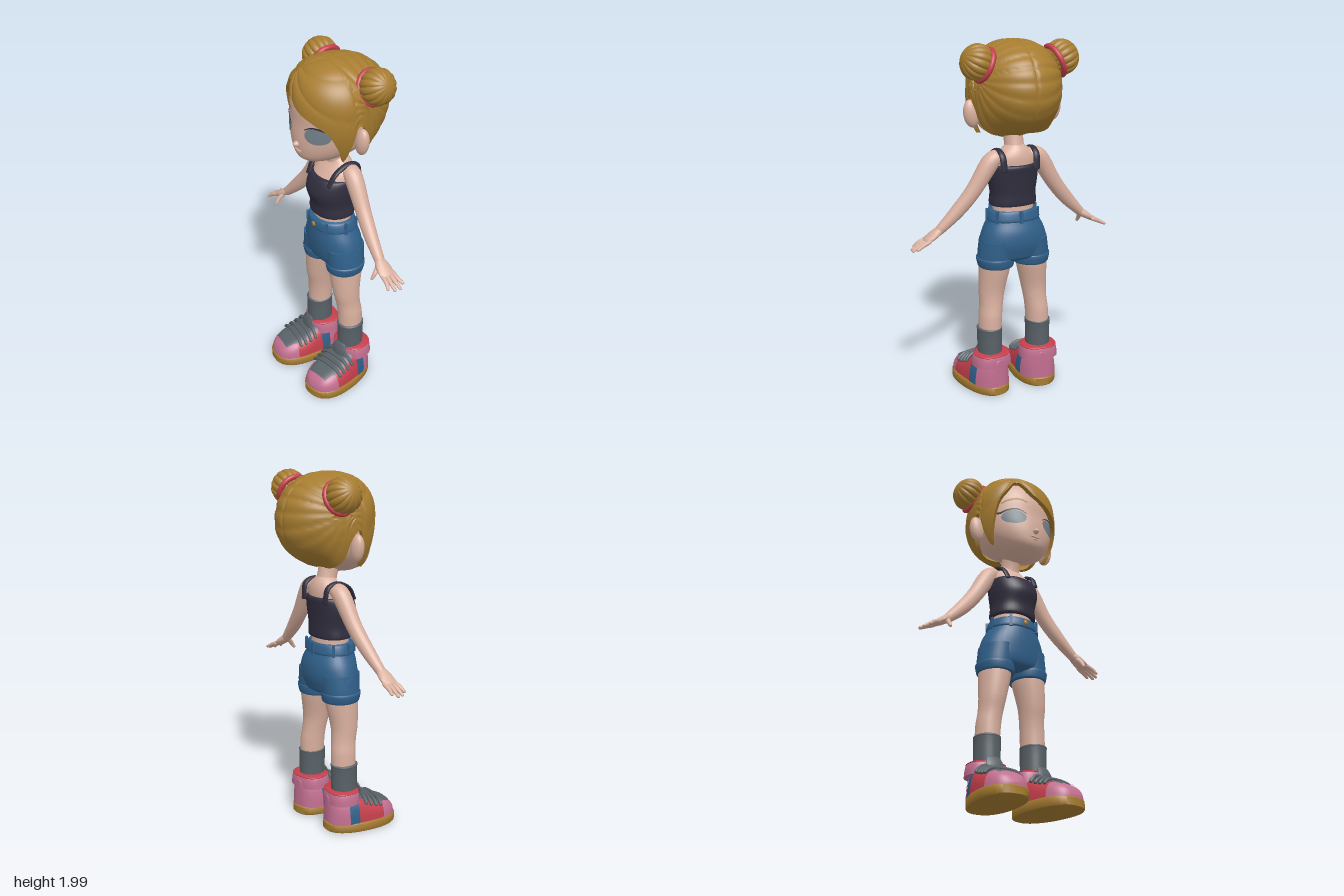
import * as THREE from 'three';
import { toCreasedNormals } from 'three/addons/utils/BufferGeometryUtils.js';

const mat = (name, color, side = THREE.FrontSide) => {
  const m = new THREE.MeshStandardMaterial({ color, side });
  m.name = name;
  return m;
};
const SKIN = mat('skin', 0xd9b09f), HAIR = mat('hair gold', 0xa67c30, THREE.DoubleSide);
const DARK = mat('charcoal', 0x302e3e, THREE.DoubleSide), DENIM = mat('denim', 0x30608a);
const GREY = mat('grey', 0x596268), PINK = mat('pink', 0xc26f90), RED = mat('red', 0xc43f4c);
const EYE = mat('eye grey', 0x74818a, THREE.DoubleSide);
const { smoothstep, lerp, degToRad } = THREE.MathUtils;
const TAU = Math.PI * 2;
const pw = (v, p) => Math.sign(v) * Math.abs(v) ** p;
const range = (n, f) => Array.from({ length: n + 1 }, (_, i) => f(i / n, i));

// Smooth interpolation in a table whose first column is the key
function at(rows, k) {
  let i = 0;
  while (i < rows.length - 2 && k > rows[i + 1][0]) i++;
  const slope = (j, c) => {
    const a = rows[Math.max(0, j - 1)], b = rows[Math.min(rows.length - 1, j + 1)];
    return (b[c] - a[c]) / (b[0] - a[0]);
  };
  const A = rows[i], B = rows[i + 1], d = B[0] - A[0], t = (k - A[0]) / d, t2 = t * t, t3 = t2 * t;
  return A.slice(1).map((_, c) => (2 * t3 - 3 * t2 + 1) * A[c + 1] + (t3 - 2 * t2 + t) * d * slope(i, c + 1)
    + (3 * t2 - 2 * t3) * B[c + 1] + (t3 - t2) * d * slope(i + 1, c + 1));
}

// Surface through a list of rings of points
function skin(rings, { wrap = true, cap = wrap } = {}) {
  const n = rings[0].length, pos = rings.flat(2), idx = [], last = rings.length - 1;
  for (let j = 0; j < last; j++) for (let i = 0; i < (wrap ? n : n - 1); i++) {
    const a = j * n + i, b = j * n + (i + 1) % n;
    idx.push(a, a + n, b + n, a, b + n, b);
  }
  if (cap) for (const j of [0, last]) {
    const c = pos.length / 3;
    for (let k = 0; k < 3; k++) pos.push(rings[j].reduce((s, p) => s + p[k], 0) / n);
    for (let i = 0; i < n; i++) {
      const a = j * n + i, b = j * n + (i + 1) % n;
      idx.push(c, ...(j ? [b, a] : [a, b]));
    }
  }
  const g = new THREE.BufferGeometry();
  g.setAttribute('position', new THREE.Float32BufferAttribute(pos, 3));
  g.setIndex(idx);
  g.scale(100, 100, 100);
  const out = toCreasedNormals(g, 0.8);
  out.scale(0.01, 0.01, 0.01);
  return out;
}

// Upright form: rows of [y, centre x, centre z, half width, front depth, back depth]
function loft(rows, p = 1, n = 36, sub = 4) {
  const ys = rows.slice(1).flatMap((r, i) => range(sub - 1, (_, k) => lerp(rows[i][0], r[0], k / sub)));
  ys.push(rows[rows.length - 1][0]);
  return skin(ys.map((y) => {
    const [cx, cz, rx, rf, rb] = at(rows, y);
    return range(n - 1, (_, i) => {
      const c = pw(Math.cos(TAU * i / n), p), s = pw(Math.sin(TAU * i / n), p);
      return [cx + rx * c, y, cz + (s > 0 ? rf : rb) * s];
    });
  }));
}

// Rounded limb along rows of [x, y, z, radius, radius along ref]
function limb(rows, ref = [0, 0, 1], n = 14) {
  const keyed = rows.map((r, i) => [i, ...r]), end = rows.length - 1, e = 0.01, rings = [];
  const ring = (k, phi) => {
    const [x, y, z, r1, r2] = at(keyed, k);
    const a = at(keyed, Math.max(0, k - e)), b = at(keyed, Math.min(end, k + e));
    const T = new THREE.Vector3(b[0] - a[0], b[1] - a[1], b[2] - a[2]).normalize();
    const e2 = new THREE.Vector3(...ref);
    e2.addScaledVector(T, -e2.dot(T)).normalize();
    const e1 = T.clone().cross(e2), C = Math.cos(phi);
    rings.push(range(n - 1, (_, i) => new THREE.Vector3(x, y, z).addScaledVector(T, Math.min(r1, r2) * Math.sin(phi))
      .addScaledVector(e1, r1 * C * Math.cos(TAU * i / n)).addScaledVector(e2, r2 * C * Math.sin(TAU * i / n)).toArray()));
  };
  [-1.45, -1, -0.5].forEach((f) => ring(0, f));
  range(end * 5, (t) => ring(t * end, 0));
  [0.5, 1, 1.45].forEach((f) => ring(end, f));
  return skin(rings);
}

const HEAD = [[1.452, 0, .1, .04, .06, .07], [1.48, 0, .08, .11, .13, .1], [1.53, 0, .03, .175, .198, .15],
  [1.6, 0, 0, .215, .232, .2], [1.68, 0, 0, .228, .226, .23], [1.78, 0, 0, .222, .222, .24],
  [1.88, 0, 0, .18, .18, .2], [1.94, 0, 0, .09, .09, .1]];
// Point lying just over the face
const onFace = (x, y, lift = 0.004) => {
  const [, cz, rx, rf] = at(HEAD, y);
  return [x, y, cz + rf * Math.sqrt(Math.max(0, 1 - (x / rx) ** 2)) + lift];
};
const strip = (pts, s, lift) => skin([-1, 1].map((d) => range(16, (t) => {
  const [x, y, h] = at(pts.map((p, i) => [i, ...p]), t * (pts.length - 1));
  return onFace(s * x, y + d * h, lift);
})), { wrap: false });

// Lower edge of the hair by azimuth in degrees: fringe, side locks, ear openings, nape
const RIM = [[-180, 1.49], [-120, 1.5], [-103, 1.55], [-96, 1.66], [-84, 1.7], [-77, 1.58], [-70, 1.5], [-64, 1.56],
  [-52, 1.74], [-40, 1.82], [-28, 1.88], [-10, 1.82], [10, 1.765], [30, 1.725], [48, 1.67], [60, 1.57], [67, 1.49],
  [75, 1.58], [84, 1.7], [96, 1.66], [103, 1.55], [120, 1.5], [180, 1.49]];
function hairPoint(deg, t, tuck) {
  const a = degToRad(deg), rim = at(RIM, deg)[0];
  let y = 1.99 - (1.99 - rim) * t * t;
  const L = lerp(.38, .25, smoothstep(-Math.cos(a), 0, .8));
  const f = y > 1.73 ? Math.max(0, 1 - ((y - 1.73) / .26) ** 2.3) ** (1 / 2.3) : Math.sqrt(1 - ((1.73 - y) / L) ** 2);
  let x = .25 * f * Math.sin(a), z = (Math.cos(a) > 0 ? .243 : .308) * f * Math.cos(a);
  const fringe = smoothstep(z, .03, .055);
  // Strands run to the buns behind, and fan out from the parting in front
  const strand = fringe > .5 ? Math.atan2(y - 1.94, x + .1) * 6 : Math.atan2(y - 1.8, z + .07) * 9;
  let groove = 1 - Math.abs(Math.sin(strand)) ** .6;
  if (z < 0) groove = Math.max(groove, Math.exp(-((x / .008) ** 2)));
  const k = (1 + .035 * fringe - .025 * groove) * tuck;
  y -= .005 * groove;
  return [x * k, y, z * k];
}
function hairShell() {
  const n = 144, rows = 56;
  const ring = (t, tuck) => range(n - 1, (_, i) => {
    const deg = 90 - 360 * i / n;
    return hairPoint(deg < -180 ? deg + 360 : deg, t, tuck);
  });
  return skin([ring(1, .88), ...range(rows, (v) => ring(1 - v, 1))], { cap: false });
}
const bunShape = () => skin(range(24, (v) => range(83, (_, i) => {
  const a = TAU * i / 84, ph = (v - .5) * Math.PI;
  const r = .097 * (1 - .09 * (1 - Math.abs(Math.sin(a * 7)) ** .5)) * Math.cos(ph);
  return [r * Math.cos(a), .088 * Math.sin(ph), r * Math.sin(a)];
})), { cap: false });

// Shoe surface: arches along z, angle a runs over the top from side to side
const HEIGHT = [[-.115, .16], [-.08, .165], [.03, .165], [.07, .15], [.13, .118], [.2, .098], [.25, .075], [.28, .048], [.295, .015]];
function shoePoint(z, a, e = 0) {
  const t = (z - .09) / .205, c = Math.cos(a), s = Math.max(0, Math.sin(a));
  const w = .116 * Math.max(0, 1 - Math.abs(t) ** 2.6) ** (1 / 2.6) * (1 + .06 * t) * (1 + 8 * e);
  return [w * pw(c, .6) * (1 - .1 * s), .045 + (at(HEIGHT, z)[0] + e) * s ** .65, z + e * t];
}
function shoePanel(z0, z1, a0, a1, e) {
  const [q0, q1] = [z0, z1].map((z) => Math.asin(Math.max(-1, Math.min(1, (z - .09) / .205))));
  return skin(range(16, (v) => range(28, (u) =>
    shoePoint(.09 + .205 * Math.sin(lerp(q1, q0, v)), degToRad(lerp(a0, a1, u)), e))), { wrap: false });
}

export function createModel() {
  const model = new THREE.Group();
  const add = (name, geo, m, parent = model) => {
    const o = new THREE.Mesh(geo, m);
    o.name = name;
    parent.add(o);
    return o;
  };
  const ball = (name, m, [x, y, z], [a, b, c], parent) => {
    const o = add(name, new THREE.SphereGeometry(1, 24, 16).scale(a, b, c), m, parent);
    o.position.set(x, y, z);
    return o;
  };

  // Head and face
  add('head', loft(HEAD, 1, 48), SKIN);
  ball('nose', SKIN, [0, 1.568, .232], [.017, .016, .024]);
  ball('upperLip', SKIN, [0, 1.534, .226], [.03, .006, .008]);
  ball('lowerLip', SKIN, [0, 1.521, .22], [.024, .007, .009]);
  add('neck', limb([[0, 1.37, -.025, .058, .058], [0, 1.44, -.01, .053, .055], [0, 1.52, .01, .055, .06]], [0, 0, 1], 24), SKIN);
  add('hair', hairShell(), HAIR);

  // Torso and clothes
  add('torso', loft([[1.03, 0, 0, .118, .11, .088], [1.1, 0, 0, .114, .105, .085], [1.16, 0, 0, .114, .11, .085],
    [1.23, 0, 0, .122, .132, .09], [1.3, 0, 0, .128, .112, .098], [1.36, 0, -.01, .12, .08, .09],
    [1.4, 0, -.02, .085, .055, .07], [1.43, 0, -.02, .05, .045, .05]]), SKIN);
  add('tankTop', loft([[1.094, 0, 0, .13, .12, .092], [1.105, 0, 0, .133, .124, .095], [1.16, 0, 0, .127, .126, .096],
    [1.23, 0, 0, .136, .148, .102], [1.28, 0, 0, .138, .138, .108], [1.32, 0, 0, .13, .115, .11],
    [1.326, 0, 0, .115, .1, .095]], .9), DARK);
  add('shorts', loft([[.772, 0, 0, .1, .06, .06], [.79, 0, 0, .185, .1, .1], [.82, 0, 0, .203, .118, .115],
    [.88, 0, 0, .198, .128, .13], [.95, 0, 0, .178, .132, .126], [1.02, 0, 0, .142, .128, .1],
    [1.06, 0, 0, .134, .124, .093]], .95), DENIM);
  add('waistband', loft([[1.008, 0, 0, .15, .133, .107], [1.015, 0, 0, .153, .137, .11], [1.058, 0, 0, .14, .132, .1],
    [1.066, 0, 0, .132, .124, .094]], .95), DENIM);
  for (const deg of [35, 80, 125, 180, 235, 280, 325]) {
    const a = degToRad(deg), c = Math.cos(a);
    const o = add('beltLoop', new THREE.BoxGeometry(.016, .068, .012), DENIM);
    o.position.set(.15 * Math.sin(a), 1.036, (c > 0 ? .139 : .11) * c);
    o.rotation.y = a;
  }
  ball('button', HAIR, [0, 1.036, .136], [.015, .015, .008]);

  for (const s of [1, -1]) {
    const side = new THREE.Group();
    side.name = s > 0 ? 'leftSide' : 'rightSide';
    model.add(side);
    const put = (name, geo, m) => add(name, geo, m, side);

    // Ear, eye, lashes and brow
    ball('ear', SKIN, [s * .243, 1.61, 0], [.043, .076, .034], side).rotation.z = -s * .15;
    put('eye', skin(range(6, (r) => range(31, (_, i) => onFace(s * .117 + .06 * r * Math.cos(TAU * i / 32),
      1.643 + .043 * r * Math.sin(TAU * i / 32), .003))), { cap: false }), EYE);
    put('lashes', strip([[.055, 1.668, .002], [.09, 1.688, .004], [.125, 1.692, .005], [.16, 1.682, .006],
      [.185, 1.668, .006], [.205, 1.678, .002]], s, .006), DARK);
    put('brow', strip([[.05, 1.745, .004], [.1, 1.76, .008], [.15, 1.75, .007], [.18, 1.73, .003]], s, .006), HAIR);

    // Hair bun with its tie
    const bun = new THREE.Group();
    bun.name = 'hairBun';
    bun.position.set(s * .245, 1.892, -.09);
    bun.rotation.z = -s * 1.15;
    side.add(bun);
    add('bun', bunShape(), HAIR, bun);
    add('hairTie', new THREE.TorusGeometry(.085, .015, 12, 40).rotateX(Math.PI / 2).translate(0, -.045, 0), RED, bun);

    // Strap, arm and hand
    put('strap', limb([[s * .093, 1.305, .1, .008, .017], [s * .1, 1.37, .06, .01, .017], [s * .1, 1.403, -.02, .012, .017],
      [s * .1, 1.38, -.085, .01, .018], [s * .095, 1.3, -.098, .008, .02]], [1, 0, 0]), DARK);
    put('arm', limb([[s * .09, 1.372, -.03, .036, .042], [s * .145, 1.342, -.025, .05, .05], [s * .24, 1.195, -.015, .044, .042],
      [s * .33, 1.085, 0, .039, .037], [s * .43, .985, .015, .026, .028]], [0, 0, 1], 22), SKIN);
    put('palm', limb([[s * .42, .992, .015, .024, .026], [s * .46, .965, .018, .022, .042], [s * .505, .936, .018, .016, .044]]), SKIN);
    [[-.02, .57, .905], [.004, .588, .893], [.03, .583, .892], [.054, .562, .9]].forEach(([z, x, y], i) =>
      put('finger', limb([[s * .5, .938, z * .9, .012, .013], [s * .54, .92, z, .011, .012],
        [s * x, y, z + (i - 1.5) * .006, .008, .009]], [0, 0, 1], 10), SKIN));
    put('thumb', limb([[s * .44, .972, .03, .015, .015], [s * .452, .94, .062, .013, .013], [s * .452, .912, .082, .009, .009]],
      [1, 0, 0], 10), SKIN);

    // Leg, shorts leg and sock
    put('leg', loft([[.3, s * .15, -.01, .062, .068, .07], [.45, s * .145, -.006, .066, .068, .075],
      [.52, s * .137, -.002, .066, .071, .07], [.6, s * .13, .005, .073, .08, .075],
      [.75, s * .112, 0, .088, .098, .095], [.82, s * .108, 0, .088, .098, .095]]), SKIN);
    put('shortsLeg', loft([[.76, s * .108, 0, .098, .105, .105], [.8, s * .108, 0, .1, .109, .109],
      [.9, s * .102, 0, .092, .115, .115]]), DENIM);
    put('cuff', loft([[.744, s * .106, 0, .096, .1, .1], [.75, s * .107, 0, .1, .106, .106], [.795, s * .109, 0, .106, .112, .112],
      [.802, s * .108, 0, .098, .106, .106]]), DENIM);
    put('sock', loft([[.15, s * .15, -.008, .068, .075, .075], [.37, s * .151, -.008, .07, .077, .077],
      [.382, s * .151, -.008, .071, .078, .078], [.387, s * .151, -.008, .064, .07, .07]]), GREY);

    // Shoe, turned slightly outward
    const shoe = new THREE.Group();
    shoe.name = 'shoe';
    shoe.position.x = s * .15;
    shoe.rotation.y = s * .14;
    side.add(shoe);
    const sew = (name, geo, m) => add(name, geo, m, shoe);
    sew('sole', skin([[0, .97], [.006, 1], [.046, 1], [.052, .97]].map(([y, k]) => range(47, (_, i) => {
      const c = Math.cos(TAU * i / 48), d = Math.sin(TAU * i / 48);
      return [.127 * k * pw(c, .8) * (1 + .1 * d), y, .09 + .217 * k * pw(d, .9)];
    }))), HAIR);
    sew('shoeBody', shoePanel(-.115, .295, 0, 180, 0), RED);
    sew('heelPanel', shoePanel(-.115, -.02, 0, 180, .005), PINK);
    sew('toeCap', shoePanel(.19, .295, 0, 180, .005), PINK);
    for (const a of [0, 142]) sew('sidePatch', shoePanel(-.02, .035, a, a + 38, .004), EYE_BLUE());
    sew('vamp', shoePanel(.05, .2, 52, 128, .006), GREY);
    sew('toeVamp', shoePanel(.18, .25, 56, 124, .009), GREY);
    sew('tongue', limb([[0, .17, .085, .014, .05], [0, .215, .078, .014, .05], [0, .25, .066, .01, .04]], [1, 0, 0]), GREY);
    sew('collar', loft([[.165, 0, -.02, .112, .085, .097], [.2, 0, -.02, .109, .085, .096], [.228, 0, -.02, .102, .081, .091],
      [.234, 0, -.02, .096, .076, .086]], .8), PINK);
    sew('collarTrim', loft([[.226, 0, -.02, .1, .079, .09], [.233, 0, -.02, .104, .083, .093], [.239, 0, -.02, .092, .073, .083]], .8), RED);
    for (const z of [.08, .11, .14, .17]) {
      sew('lace', limb(range(6, (t) => [...shoePoint(z, degToRad(lerp(38, 142, t)), .014), .01, .01]), [0, 0, 1], 8), GREY);
    }
  }
  return model;
}

// Side patches share the denim blue
function EYE_BLUE() { return DENIM; }
